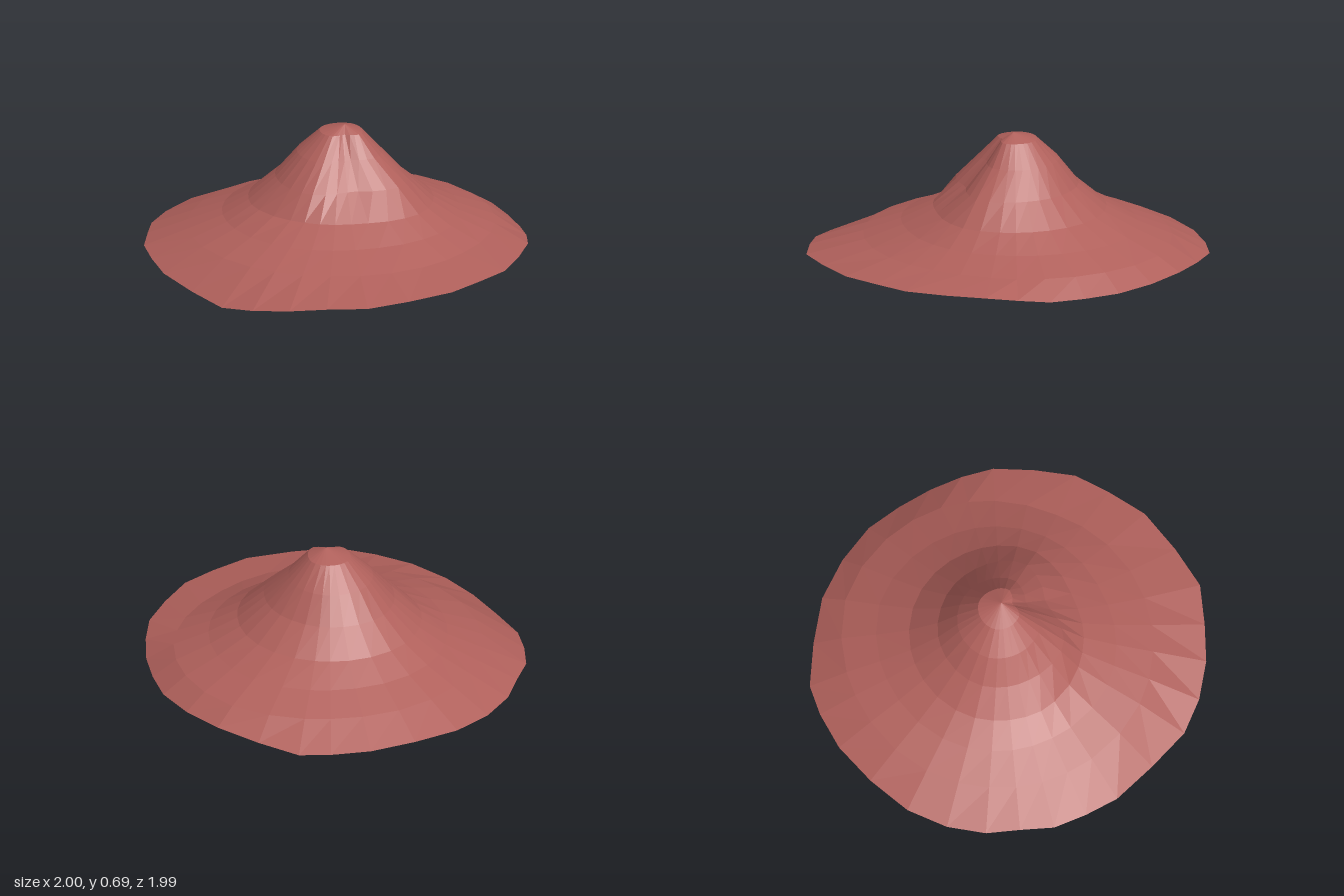
import * as THREE from 'three';

// Outline of the base, clockwise from above: x, y, z
const RIM = [
  [-0.04, 0.08, -1], [0.19, 0.075, -0.97], [0.4, 0.07, -0.9], [0.56, 0.067, -0.79], [0.7, 0.067, -0.67],
  [0.81, 0.085, -0.54], [0.9, 0.1, -0.4], [0.96, 0.1, -0.2], [1, 0.1, 0.01], [0.97, 0.1, 0.2],
  [0.92, 0.096, 0.41], [0.79, 0.088, 0.62], [0.65, 0.08, 0.8], [0.46, 0.07, 0.89], [0.28, 0.05, 0.96],
  [0.08, 0.025, 0.99], [-0.11, 0.003, 0.975], [-0.34, 0.018, 0.88], [-0.57, 0.04, 0.77], [-0.71, 0.057, 0.65],
  [-0.83, 0.065, 0.52], [-0.9, 0.07, 0.36], [-0.97, 0.06, 0.2], [-1, 0.055, 0], [-0.98, 0.058, -0.22],
  [-0.89, 0.06, -0.45], [-0.77, 0.055, -0.66], [-0.63, 0.05, -0.81], [-0.5, 0.045, -0.91], [-0.28, 0.062, -0.965],
];

// Contours: height, then radius in eight directions from +x round through +z
const CONTOURS = [
  [0.15, [0.75, 0.77, 0.78, 0.78, 0.79, 0.79, 0.83, 0.8]],
  [0.22, [0.6, 0.57, 0.6, 0.6, 0.62, 0.62, 0.65, 0.62]],
  [0.3, [0.48, 0.41, 0.43, 0.47, 0.48, 0.47, 0.47, 0.47]],
  [0.42, [0.36, 0.25, 0.34, 0.33, 0.345, 0.33, 0.32, 0.33]],
  [0.55, [0.21, 0.14, 0.21, 0.22, 0.235, 0.23, 0.22, 0.21]],
  [0.66, [0.115, 0.06, 0.1, 0.105, 0.115, 0.115, 0.12, 0.11]],
];
const CENTRE_Z = -0.05;
const APEX = [0.02, 0.697, -0.055];

// Point on a contour in the direction of a rim point
function contourPoint([y, radii], [rx, , rz]) {
  const angle = Math.atan2(rz - CENTRE_Z, rx);
  const t = ((angle / (Math.PI / 4)) + 8) % 8;
  const k = Math.floor(t) % 8;
  const r = THREE.MathUtils.lerp(radii[k], radii[(k + 1) % 8], t - Math.floor(t));
  return [r * Math.cos(angle), y, CENTRE_Z + r * Math.sin(angle)];
}

function meshFrom(name, positions, material) {
  const geometry = new THREE.BufferGeometry();
  geometry.setAttribute('position', new THREE.Float32BufferAttribute(positions, 3));
  geometry.computeVertexNormals();
  const mesh = new THREE.Mesh(geometry, material);
  mesh.name = name;
  return mesh;
}

export function createModel() {
  const group = new THREE.Group();
  group.name = 'mound';
  const clay = new THREE.MeshStandardMaterial({ color: 0xb0605b });
  clay.name = 'red clay';
  const n = RIM.length;

  // Slopes: quads between contours, closed by the rounded summit
  const rings = [RIM, ...CONTOURS.map((c) => RIM.map((p) => contourPoint(c, p)))];
  const slopes = [];
  for (let i = 0; i < n; i++) {
    const j = (i + 1) % n;
    for (let k = 0; k < rings.length - 1; k++) {
      const outer = rings[k], inner = rings[k + 1];
      slopes.push(...inner[i], ...outer[j], ...outer[i], ...inner[i], ...inner[j], ...outer[j]);
    }
    const top = rings[rings.length - 1];
    slopes.push(...APEX, ...top[j], ...top[i]);
  }
  group.add(meshFrom('slopes', slopes, clay));

  // Underside: fan from the lowest rim point
  const low = 16;
  const base = [];
  for (let i = 1; i < n - 1; i++) {
    base.push(...RIM[low], ...RIM[(low + i) % n], ...RIM[(low + i + 1) % n]);
  }
  group.add(meshFrom('underside', base, clay));

  group.position.y = -0.003;
  const model = new THREE.Group();
  model.add(group);
  return model;
}
